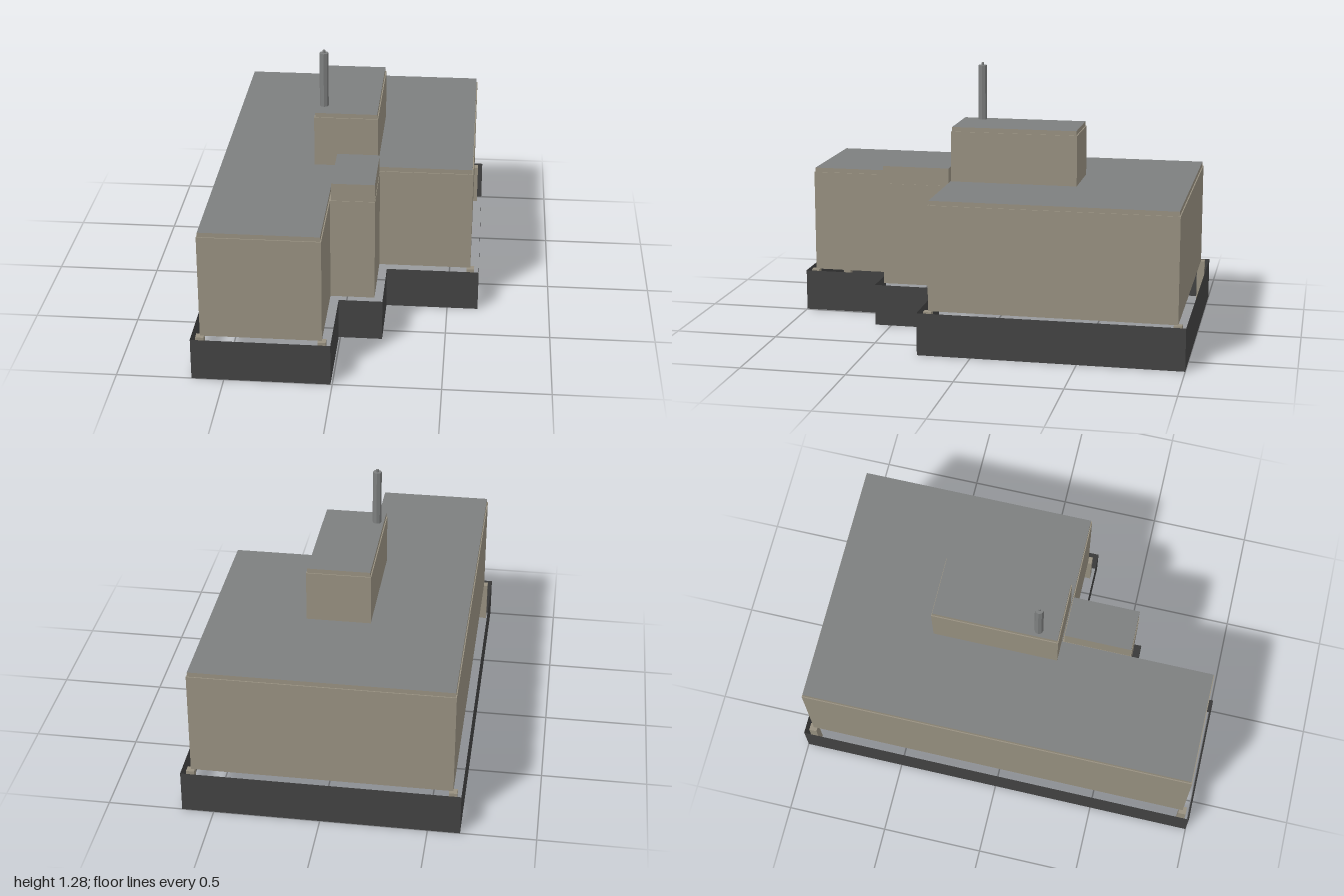
import * as THREE from 'three';

const wall = new THREE.MeshStandardMaterial({ color: 0x979080 });
wall.name = 'wall tan';
const roof = new THREE.MeshStandardMaterial({ color: 0x7d7f7f });
roof.name = 'roof grey';
const skirtMat = new THREE.MeshStandardMaterial({ color: 0x424242, side: THREE.DoubleSide });
skirtMat.name = 'skirt charcoal';

// Footprints as [x, z] corners
const MAIN = [[-0.61, -0.96], [0.608, -0.96], [0.608, 0.21], [-0.05, 0.21], [-0.05, 0.96], [-0.61, 0.96]];
const MAIN_CAP = [[-0.605, -0.955], [0.603, -0.955], [0.603, 0.205], [-0.055, 0.205], [-0.055, 0.955], [-0.605, 0.955]];
const SKIRT = [[-0.65, -1], [0.65, -1], [0.65, 0.255], [0.2, 0.255], [0.2, 0.58], [-0.008, 0.58], [-0.008, 1], [-0.65, 1]];
const rect = (x0, x1, z0, z1) => [[x0, z0], [x1, z0], [x1, z1], [x0, z1]];

// Upright prism over a footprint; materials are [top and bottom, sides]
function prism(name, points, y0, y1, materials) {
  const shape = new THREE.Shape(points.map(([x, z]) => new THREE.Vector2(x, -z)));
  const geo = new THREE.ExtrudeGeometry(shape, { depth: y1 - y0, bevelEnabled: false });
  geo.rotateX(-Math.PI / 2).translate(0, y0, 0);
  const mesh = new THREE.Mesh(geo, materials);
  mesh.name = name;
  return mesh;
}

export function createModel() {
  const model = new THREE.Group();
  model.name = 'building';
  const capMats = [roof, wall];

  // Main block with its slightly inset roof slab
  model.add(prism('mainWalls', MAIN, 0.205, 0.71, wall));
  model.add(prism('mainRoof', MAIN_CAP, 0.71, 0.732, capMats));

  // Entrance tower in the inner corner
  model.add(prism('towerWalls', rect(-0.05, 0.16, 0.21, 0.545), 0.205, 0.71, wall));
  model.add(prism('towerTop', rect(-0.046, 0.158, 0.213, 0.542), 0.71, 0.797, capMats));

  // Rooftop penthouse
  model.add(prism('penthouseWalls', rect(-0.157, 0.148, -0.416, 0.202), 0.732, 0.978, wall));
  model.add(prism('penthouseRoof', rect(-0.152, 0.143, -0.411, 0.197), 0.978, 1.0, capMats));

  // Chimney mast with a small tip
  const mast = new THREE.Group();
  mast.name = 'mast';
  const addRod = (name, radius, y0, y1) => {
    const geo = new THREE.CylinderGeometry(radius, radius, y1 - y0, 8).toNonIndexed();
    geo.computeVertexNormals();
    const rod = new THREE.Mesh(geo, roof);
    rod.name = name;
    rod.position.y = (y0 + y1) / 2;
    mast.add(rod);
  };
  addRod('mastShaft', 0.0215, 1.0, 1.27);
  addRod('mastTip', 0.007, 1.27, 1.283);
  mast.position.set(-0.118, 0, 0.1);
  model.add(mast);

  // Thin skirt panels standing around the footprint
  const skirt = new THREE.Group();
  skirt.name = 'skirt';
  SKIRT.forEach(([x0, z0], i) => {
    const [x1, z1] = SKIRT[(i + 1) % SKIRT.length];
    const panel = new THREE.Mesh(new THREE.PlaneGeometry(Math.hypot(x1 - x0, z1 - z0), 0.204), skirtMat);
    panel.name = 'skirtPanel';
    panel.position.set((x0 + x1) / 2, 0.102, (z0 + z1) / 2);
    panel.rotation.y = Math.atan2(z1 - z0, x0 - x1);
    skirt.add(panel);
  });
  model.add(skirt);

  // Corner posts carrying the main block
  for (const [x, z] of [[-0.61, -0.96], [0.608, -0.96], [0.608, 0.21], [-0.05, 0.96], [-0.61, 0.96]]) {
    const post = new THREE.Mesh(new THREE.BoxGeometry(0.038, 0.205, 0.038), wall);
    post.name = 'cornerPost';
    post.position.set(x, 0.1025, z);
    model.add(post);
  }
  return model;
}
